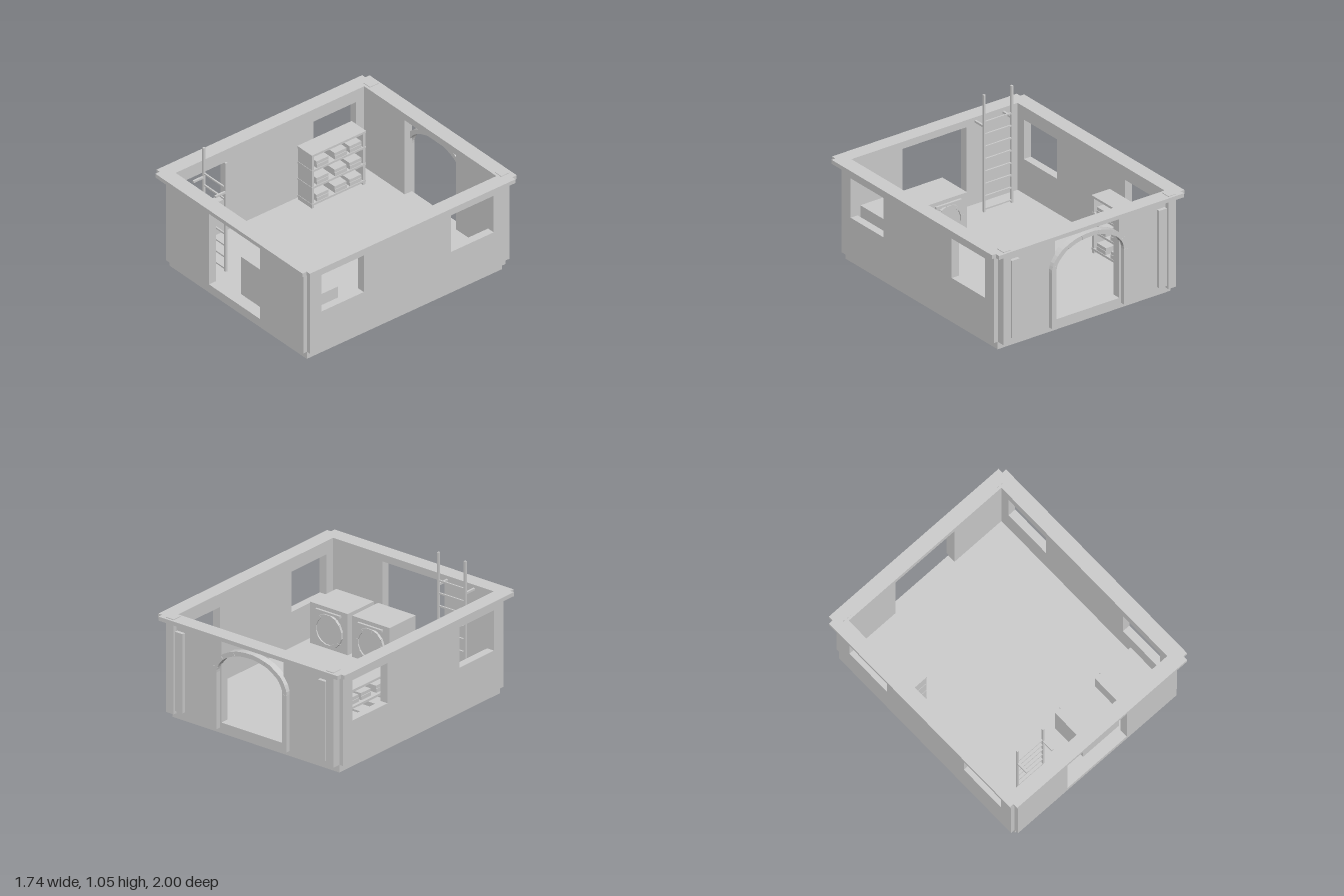
import * as THREE from 'three';

const stone = new THREE.MeshStandardMaterial({ color: 0xcccccc });
stone.name = 'grey stone';

export function createModel() {
  const root = new THREE.Group();
  root.name = 'laundryRoom';

  const add = (name, geometry, parent = root) => {
    const mesh = new THREE.Mesh(geometry, stone);
    mesh.name = name;
    parent.add(mesh);
    return mesh;
  };
  // Box given by its lower and upper limits on each axis
  const box = (name, [x0, x1], [y0, y1], [z0, z1], parent = root) => {
    const g = new THREE.BoxGeometry(x1 - x0, y1 - y0, z1 - z0);
    g.translate((x0 + x1) / 2, (y0 + y1) / 2, (z0 + z1) / 2);
    return add(name, g, parent);
  };
  const group = (name) => {
    const g = new THREE.Group();
    g.name = name;
    root.add(g);
    return g;
  };
  const rectPoints = (u0, u1, v0, v1) => [[u0, v0], [u1, v0], [u1, v1], [u0, v1]]
    .map(([u, v]) => new THREE.Vector2(u, v));
  // Upright slab with rectangular openings
  const slab = (halfWidth, openings, depth) => {
    const shape = new THREE.Shape(rectPoints(-halfWidth, halfWidth, 0.061, 0.776));
    openings.forEach((o) => shape.holes.push(new THREE.Path(rectPoints(...o))));
    return new THREE.ExtrudeGeometry(shape, { depth, bevelEnabled: false });
  };

  // Base and floor
  box('base', [-0.78, 0.78], [0, 0.061], [-0.91, 0.914]);
  box('floor', [-0.76, 0.76], [0.055, 0.105], [-0.89, 0.89]);

  // Walls with doorways front and back, two windows on each side
  const doorway = [-0.29, 0.29, 0.105, 0.749];
  add('frontWall', slab(0.78, [doorway], 0.067).translate(0, 0, 0.88));
  add('backWall', slab(0.78, [doorway], 0.067).translate(0, 0, -0.947));
  const windows = [[0.41, 0.805, 0.383, 0.701], [-0.803, -0.405, 0.383, 0.701]];
  for (const [name, x] of [['leftWall', 0.814], ['rightWall', -0.75]]) {
    add(name, slab(0.912, windows, 0.064).rotateY(-Math.PI / 2).translate(x, 0, 0));
  }

  // Cornice ring with notched corners
  const quarter = [[0.87, 0.96], [0.835, 0.96], [0.835, 1]];
  const flip = (sx, sy, list) => list.map(([x, y]) => new THREE.Vector2(x * sx, y * sy));
  const ring = new THREE.Shape([
    ...flip(1, 1, quarter),
    ...flip(-1, 1, [...quarter].reverse()),
    ...flip(-1, -1, quarter),
    ...flip(1, -1, [...quarter].reverse()),
  ]);
  ring.holes.push(new THREE.Path(rectPoints(-0.75, 0.75, -0.88, 0.88)));
  add('cornice', new THREE.ExtrudeGeometry(ring, { depth: 0.032, bevelEnabled: false })
    .rotateX(-Math.PI / 2).translate(0, 0.774, 0));

  // Back corner columns and tall panels beside them
  for (const s of [-1, 1]) {
    const span = (a, b) => (s > 0 ? [a, b] : [-b, -a]);
    box('cornerColumn', span(0.71, 0.78), [0.061, 0.811], [-0.979, -0.9]);
    box('wallPanel', span(0.63, 0.7), [0.09, 0.715], [-0.975, -0.94]);
  }

  // Back arch: two posts and a ring of voussoirs
  const arch = group('backArch');
  for (const s of [-1, 1]) {
    box('archPost', s > 0 ? [0.306, 0.346] : [-0.346, -0.306], [0.061, 0.508], [-0.985, -0.93], arch);
  }
  const blocks = 14;
  const onArch = (a, rx, ry) => new THREE.Vector2(Math.cos(a) * rx, 0.508 + Math.sin(a) * ry);
  for (let i = 0; i < blocks; i++) {
    const a = (i / blocks) * Math.PI;
    const b = ((i + 1) / blocks) * Math.PI;
    const mid = (a + b) / 2;
    const shape = new THREE.Shape([
      onArch(a, 0.306, 0.195), onArch(a, 0.346, 0.23),
      onArch(mid, 0.347, 0.231), onArch(b, 0.346, 0.23),
      onArch(b, 0.306, 0.195), onArch(mid, 0.306, 0.195),
    ]);
    const depth = i % 2 ? 0.053 : 0.055;
    add('archBlock', new THREE.ExtrudeGeometry(shape, { depth, bevelEnabled: false })
      .translate(0, 0, -0.93 - depth), arch);
  }

  // Shelf rack with folded bundles
  const rack = group('shelfRack');
  const rackX = [-0.735, -0.57];
  const rackZ = [-0.75, -0.243];
  box('rackEnd', [-0.732, -0.573], [0.105, 0.56], [-0.747, -0.725], rack);
  box('rackEnd', [-0.732, -0.573], [0.105, 0.56], [-0.268, -0.246], rack);
  box('rackTop', rackX, [0.55, 0.568], rackZ, rack);
  for (const y of [0.145, 0.29, 0.435]) {
    box('shelf', rackX, [y - 0.017, y], rackZ, rack);
    for (const z of [-0.658, -0.52, -0.35]) {
      box('bundleLower', [-0.71, -0.575], [y, y + 0.03], [z - 0.055, z + 0.055], rack);
      box('bundleUpper', [-0.705, -0.58], [y + 0.03, y + 0.055], [z - 0.055, z + 0.055], rack);
    }
  }

  // Ladder inside the front wall
  const ladder = group('ladder');
  for (const x of [-0.603, -0.353]) {
    const rail = [x, x + 0.016];
    box('ladderRail', rail, [0.105, 1.048], [0.735, 0.753], ladder);
    box('ladderBracket', rail, [0.786, 0.802], [0.745, 0.845], ladder);
  }
  for (let i = 0; i < 8; i++) {
    const y = 0.12 + i * 0.1;
    box('ladderRung', [-0.6, -0.345], [y, y + 0.012], [0.738, 0.75], ladder);
  }

  // Two washing machines with round doors facing the back
  for (const x of [0.128, 0.519]) {
    const washer = group('washer');
    box('washerBody', [x - 0.175, x + 0.175], [0.105, 0.43], [0.552, 0.848], washer);
    box('washerBar', [x - 0.115, x + 0.115], [0.383, 0.4], [0.534, 0.555], washer);
    const disc = new THREE.CylinderGeometry(0.112, 0.112, 0.012, 24);
    add('washerDoor', disc.rotateX(Math.PI / 2).translate(x, 0.25, 0.548), washer);
    for (let i = 0; i < 16; i++) {
      const block = new THREE.BoxGeometry(0.05, 0.026, i % 2 ? 0.022 : 0.025);
      block.translate(0, 0.117, 0).rotateZ((i / 16) * Math.PI * 2).translate(x, 0.25, 0.543);
      add('washerRingBlock', block, washer);
    }
  }

  return root;
}
